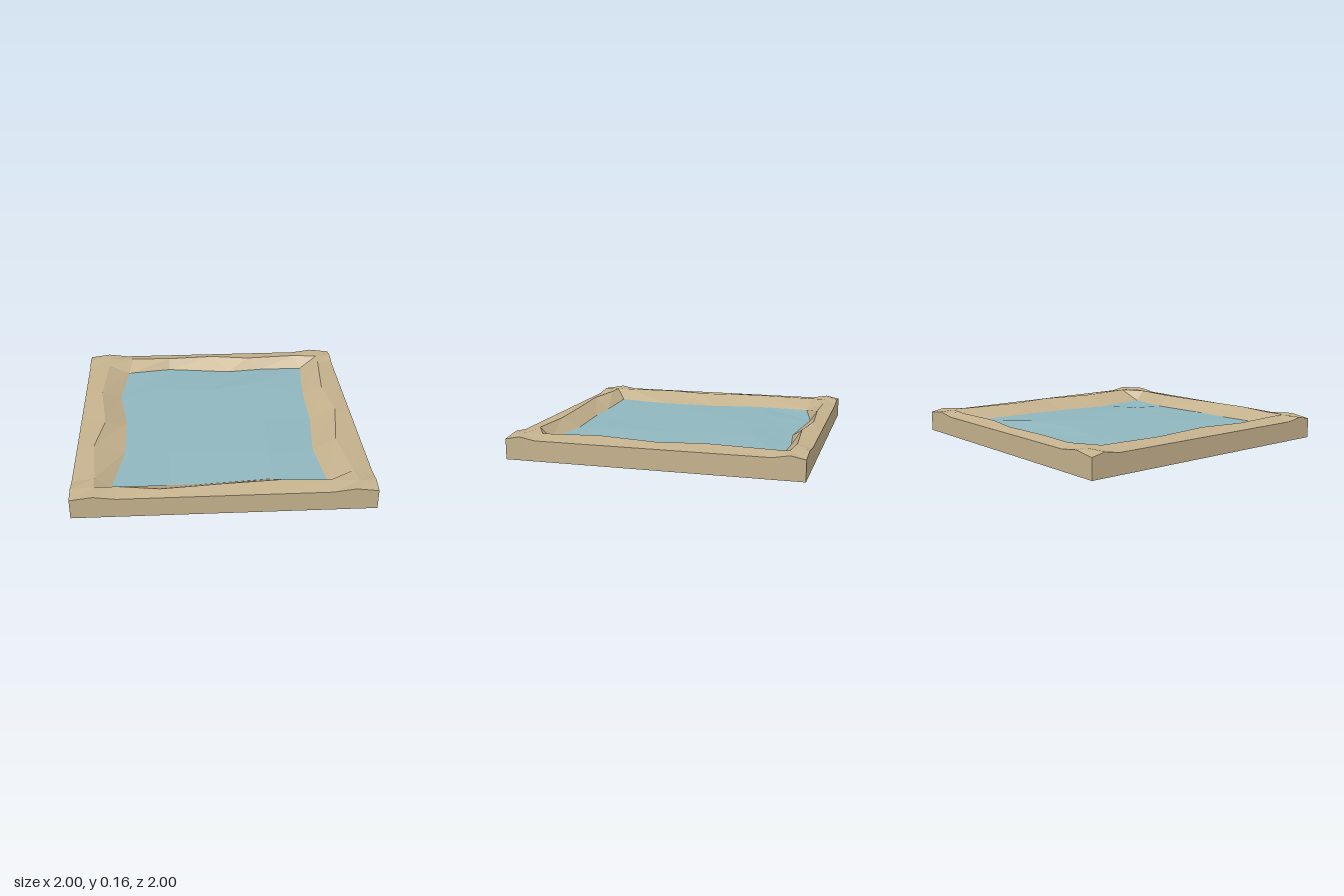
import * as THREE from 'three';

// Interior grid points as [x, z], back row to front row, left to right on the page
const INNER = [
  [[-.83, -.92], [-.65, -.91], [-.35, -.9], [.01, -.92], [.3, -.875], [.69, -.9], [.88, -.88]],
  [[-.84, -.8], [-.68, -.78], [-.35, -.85], [.14, -.79], [.41, -.82], [.74, -.81], [.88, -.78]],
  [[-.87, -.35], [-.73, -.4], [-.37, -.5], [-.08, -.43], [.34, -.53], [.7, -.37], [.84, -.33]],
  [[-.82, .08], [-.67, 0], [-.33, 0], [0, 0], [.35, 0], [.7, 0], [.89, -.02]],
  [[-.88, .4], [-.67, .4], [-.35, .42], [.15, .43], [.34, .5], [.66, .4], [.82, .4]],
  [[-.85, .79], [-.74, .8], [-.35, .79], [-.1, .79], [.33, .755], [.7, .81], [.87, .79]],
  [[-.85, .89], [-.7, .89], [-.42, .93], [0, .895], [.38, .87], [.7, .89], [.89, .905]],
];
// Water surface heights, same order
const WATER = [
  [.095, .083, .08, .08, .085],
  [.09, .1, .105, .11, .09],
  [.09, .1, .1, .1, .085],
  [.09, .095, .095, .1, .08],
  [.09, .085, .085, .085, .085],
];
const XS = [-1, -.85, -.7, -.35, 0, .35, .7, .85, 1];
const ZS = [-1, -.9, -.79, -.4, 0, .4, .79, .9, 1];
const RIDGE = 0.16, EDGE = 0.14, N = 8;

// Grid point: straight outer edge, raised ridge ring, sunken water
function point(i, j) {
  const rim = (k) => k === 0 || k === N;
  const ridge = (k) => k === 1 || k === N - 1;
  if (rim(i) || rim(j)) {
    return [XS[i], ridge(i) || ridge(j) ? RIDGE : EDGE, ZS[j]];
  }
  const [x, z] = INNER[j - 1][i - 1];
  return [x, ridge(i) || ridge(j) ? RIDGE : WATER[j - 2][i - 2], z];
}

function facetMesh(name, quads, material) {
  const pos = [];
  for (const [a, b, c, d] of quads) pos.push(...a, ...b, ...d, ...b, ...c, ...d);
  const geo = new THREE.BufferGeometry();
  geo.setAttribute('position', new THREE.Float32BufferAttribute(pos, 3));
  geo.computeVertexNormals();
  const mesh = new THREE.Mesh(geo, material);
  mesh.name = name;
  return mesh;
}

export function createModel() {
  const sand = new THREE.MeshStandardMaterial({ color: 0xc4b18d });
  sand.name = 'sand';
  const blue = new THREE.MeshStandardMaterial({ color: 0x8fb6be });
  blue.name = 'water';

  // Top surface, split into sandy bank and water
  const bank = [], water = [];
  for (let j = 0; j < N; j++) {
    for (let i = 0; i < N; i++) {
      const wet = i > 1 && i < N - 2 && j > 1 && j < N - 2;
      (wet ? water : bank).push([point(i, j), point(i, j + 1), point(i + 1, j + 1), point(i + 1, j)]);
    }
  }

  // Outer walls down to the ground, following the edge heights
  const walls = [];
  const addWall = (p, q) => walls.push([[p[0], 0, p[2]], [q[0], 0, q[2]], q, p]);
  for (let k = 0; k < N; k++) {
    addWall(point(k, N), point(k + 1, N));
    addWall(point(k + 1, 0), point(k, 0));
    addWall(point(N, k + 1), point(N, k));
    addWall(point(0, k), point(0, k + 1));
  }

  // Flat underside
  const base = [[[-1, 0, -1], [1, 0, -1], [1, 0, 1], [-1, 0, 1]]];

  const group = new THREE.Group();
  group.name = 'pondTile';
  group.add(
    facetMesh('sandBank', bank, sand),
    facetMesh('waterSurface', water, blue),
    facetMesh('outerWalls', walls, sand),
    facetMesh('underside', base, sand),
  );
  return group;
}
